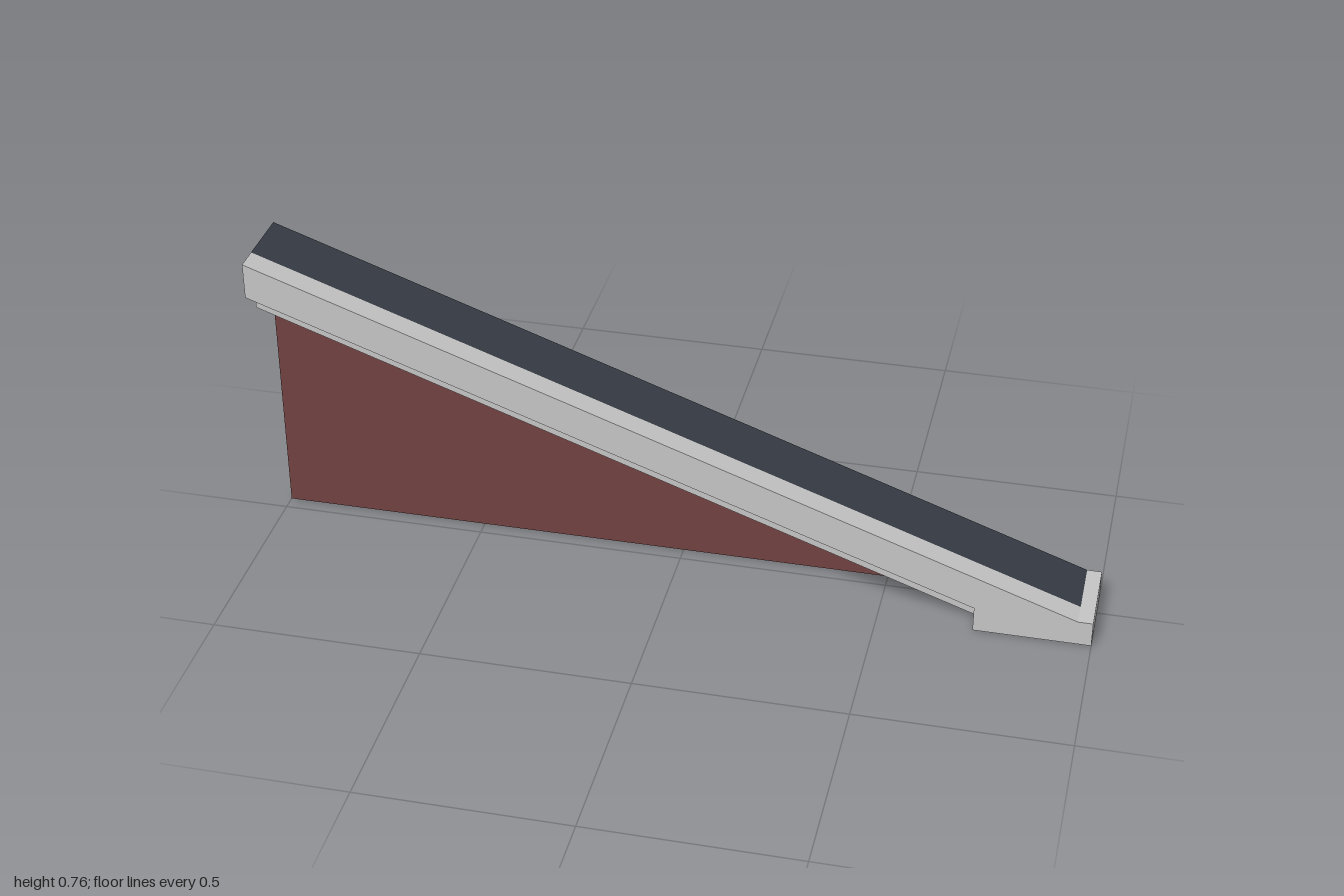
import * as THREE from 'three';

const paint = (name, color) => {
  const m = new THREE.MeshStandardMaterial({ color, side: THREE.DoubleSide });
  m.name = name;
  return m;
};

export function createModel() {
  const model = new THREE.Group();
  model.name = 'ramp';
  const concrete = paint('concreteGrey', 0xc4c4c4);
  const tread = paint('darkTread', 0x363b43);
  const red = paint('brickRed', 0x704141);
  const slate = paint('slateBlue', 0x53626a);
  const ochre = paint('ochreBrown', 0x79644c);

  // Depths of the curb face, the recessed wall and the open back
  const FRONT = 0.13, WALL = 0.07, BACK = -0.08;

  const add = (name, geometry, material) => {
    const mesh = new THREE.Mesh(geometry, material);
    mesh.name = name;
    model.add(mesh);
    return mesh;
  };

  // Flat upright sheet: outline in x, y at a given z
  const sheet = (name, points, z, material) => {
    const shape = new THREE.Shape(points.map(([x, y]) => new THREE.Vector2(x, y)));
    const mesh = add(name, new THREE.ShapeGeometry(shape), material);
    mesh.position.z = z;
    return mesh;
  };

  // Strip swept across z along a line in x, y; listed so that it faces left of its direction
  const strip = (name, line, z0, z1, material) => {
    const pos = [];
    for (let i = 0; i + 1 < line.length; i++) {
      const [ax, ay] = line[i], [bx, by] = line[i + 1];
      pos.push(ax, ay, z1, bx, by, z1, bx, by, z0, ax, ay, z1, bx, by, z0, ax, ay, z0);
    }
    const g = new THREE.BufferGeometry();
    g.setAttribute('position', new THREE.Float32BufferAttribute(pos, 3));
    g.computeVertexNormals();
    return add(name, g, material);
  };

  const topHigh = [-1, 0.757], topLow = [0.965, 0.0625];
  const midHigh = [-1, 0.67], midLow = [0.725, 0.0625];
  const lowHigh = [-1, 0.61], lowLow = [0.725, 0];
  const toeTop = [1, 0.0625], toeBottom = [1, 0];

  // Sloping walking surface and the curb rim beside it
  strip('tread', [topHigh, topLow], BACK, WALL, tread);
  strip('curbRim', [topHigh, topLow], WALL, FRONT, concrete);

  // Curb face and its overhang, stepping back to the lower wall
  sheet('curbFace', [topHigh, midHigh, midLow, lowLow, toeBottom, toeTop, topLow], FRONT, concrete);
  strip('curbUnderside', [lowLow, midLow, midHigh], WALL, FRONT, concrete);
  sheet('lowerWall', [midHigh, lowHigh, lowLow, midLow], WALL, concrete);
  strip('rampUnderside', [lowLow, lowHigh], BACK, WALL, concrete);

  // Toe at the foot of the slope
  strip('toe', [topLow, toeTop, toeBottom, lowLow], BACK, FRONT, concrete);

  // Stepped plate closing the high end, drawn in z, y and turned to face -x
  const end = sheet('highEndPlate', [
    [BACK, 0.61], [WALL, 0.61], [WALL, 0.67], [FRONT, 0.67], [FRONT, 0.757], [BACK, 0.757],
  ], 0, concrete);
  end.rotation.y = -Math.PI / 2;
  end.position.x = -1;

  // Triangular side panels under the slope
  const rise = 0.607, tip = 0.81, base = 0.033;
  const cut = tip - base * (tip + 1) / rise;
  sheet('frontPanel', [[-1, 0], [tip, 0], [-1, rise]], -0.037, red);
  sheet('backPanel', [[-1, base], [cut, base], [-1, rise]], -0.13, slate);
  sheet('backPanelSkirting', [[-1, 0], [tip, 0], [cut, base], [-1, base]], -0.13, ochre);

  return model;
}
